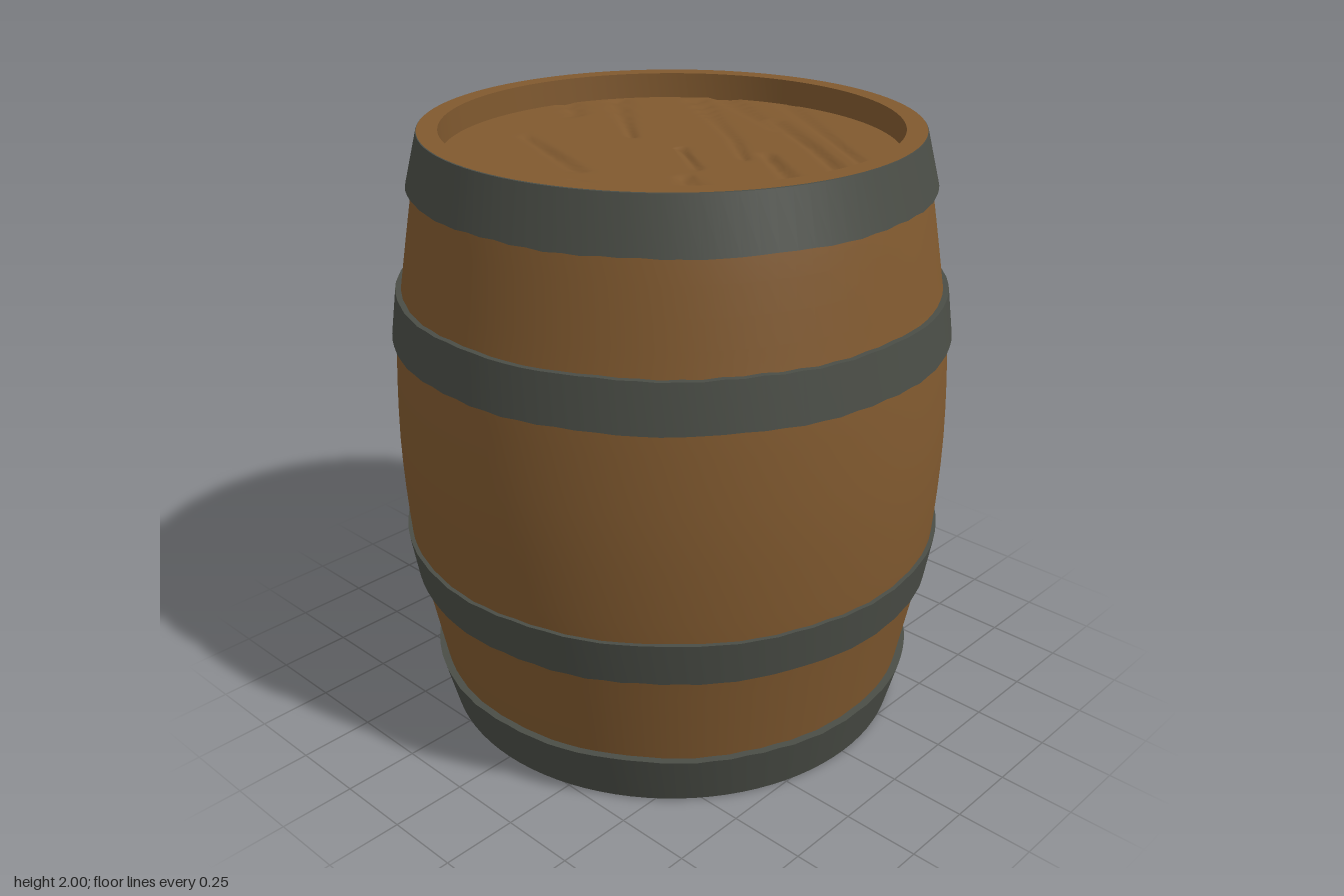
import * as THREE from 'three';
import { mergeVertices, toCreasedNormals } from 'three/addons/utils/BufferGeometryUtils.js';

const material = (name, color) => {
  const m = new THREE.MeshStandardMaterial({ color });
  m.name = name;
  return m;
};

const SEGMENTS = 96;

// Revolves an outline of [radius, height] pairs; keeps its corners sharp
function turned(name, outline, mat, rag = 0) {
  const points = outline.map(([r, y]) => new THREE.Vector2(r, y));
  const geo = new THREE.LatheGeometry(points, SEGMENTS);
  const p = geo.attributes.position;
  for (let i = 0; i < p.count && rag; i++) {
    const a = Math.atan2(p.getX(i), p.getZ(i)), y = p.getY(i);
    const wave = Math.sin(a * 17 + y * 9) * Math.sin(a * 29 + y * 5);
    if (y > 0.05 && y < 1.95) p.setY(i, y + rag * wave);
  }
  const mesh = new THREE.Mesh(toCreasedNormals(geo, 0.5), mat);
  mesh.name = name;
  return mesh;
}

// Distance from a point to the segment [x1, z1, x2, z2]
function segmentDistance(x, z, [x1, z1, x2, z2]) {
  const dx = x2 - x1, dz = z2 - z1;
  const t = THREE.MathUtils.clamp(((x - x1) * dx + (z - z1) * dz) / (dx * dx + dz * dz), 0, 1);
  return Math.hypot(x - x1 - t * dx, z - z1 - t * dz);
}

// Round barrel end with carved cracks; up is 1 for the top and -1 for the bottom
function barrelEnd(name, y, up, cracks, mat) {
  let geo = new THREE.RingGeometry(0.001, 0.728, 120, 48);
  geo.rotateX(-up * Math.PI / 2);
  geo.deleteAttribute('uv');
  geo.deleteAttribute('normal');
  geo = mergeVertices(geo);
  const p = geo.attributes.position;
  for (let i = 0; i < p.count; i++) {
    const x = p.getX(i), z = p.getZ(i);
    let depth = 0;
    for (const crack of cracks) {
      const d = segmentDistance(x, z, crack) + 0.006 * Math.sin(x * 31 + z * 23);
      depth = Math.max(depth, 0.014 * (1 - Math.abs(d) / 0.025));
    }
    p.setY(i, y - up * depth);
  }
  geo.computeVertexNormals();
  const mesh = new THREE.Mesh(geo, mat);
  mesh.name = name;
  return mesh;
}

export function createModel() {
  const wood = material('brown wood', 0x80592f);
  const iron = material('dark iron', 0x4a4d46);
  const barrel = new THREE.Group();
  barrel.name = 'barrel';

  // Bulging staves with a flat rim at each end and the recess wall at the top
  const bulge = new THREE.SplineCurve([
    [0.775, 0], [0.81, 0.18], [0.872, 0.51], [0.897, 0.66], [0.912, 1],
    [0.897, 1.34], [0.872, 1.5], [0.815, 1.83], [0.775, 2],
  ].map(([r, y]) => new THREE.Vector2(r, y)));
  barrel.add(turned('staves', [
    [0.73, 0],
    ...bulge.getPoints(32).map((v) => [v.x, v.y]),
    [0.79, 2], [0.725, 2], [0.725, 1.9],
  ], wood));

  // Hoops: [name, bottom y, bottom radius, top y, top radius]
  const hoops = [
    ['bottomHoop', 0.005, 0.79, 0.18, 0.835],
    ['lowerHoop', 0.51, 0.887, 0.66, 0.911],
    ['upperHoop', 1.345, 0.911, 1.5, 0.89],
    ['topHoop', 1.83, 0.835, 1.998, 0.792],
  ];
  for (const [name, y0, r0, y1, r1] of hoops) {
    const inset = 0.04;
    barrel.add(turned(name, [
      [r0 - inset, y0], [r0, y0], [r1, y1], [r1 - inset, y1],
    ], iron, 0.004));
  }

  // Iron lining of the bottom recess
  barrel.add(turned('bottomLining', [[0.725, 0.08], [0.725, 0.01], [0.735, 0]], iron));

  // Diagonal cracks along the grain of the top
  const topCracks = [
    [-0.38, 0.54, -0.22, 0.26], [-0.55, 0.2, -0.48, 0.06], [-0.38, -0.02, -0.22, -0.45],
    [-0.12, 0.22, 0.02, 0.02], [-0.12, 0.64, 0.14, 0.27], [0.06, 0.25, 0.22, 0.06],
    [0.22, 0.06, 0.58, -0.45], [0.06, 0.68, 0.32, 0.3], [0.32, 0.3, 0.5, 0.0],
    [0.24, 0.58, 0.7, -0.1], [0.02, -0.2, 0.34, -0.6], [0.1, -0.55, 0.2, -0.7],
    [0.4, 0.1, 0.64, -0.35],
  ];
  barrel.add(barrelEnd('topLid', 1.915, 1, topCracks, wood));

  // Branching cracks of the underside
  const bottomCracks = [
    [0, -0.6, 0.06, 0.62], [0.05, 0.1, 0.4, -0.4], [0.02, 0, -0.35, 0.45],
    [-0.4, -0.5, -0.22, 0.1], [0.3, 0.5, 0.55, 0.1], [-0.62, 0.1, -0.45, 0.3],
  ];
  barrel.add(barrelEnd('bottomLid', 0.075, -1, bottomCracks, wood));

  return barrel;
}
